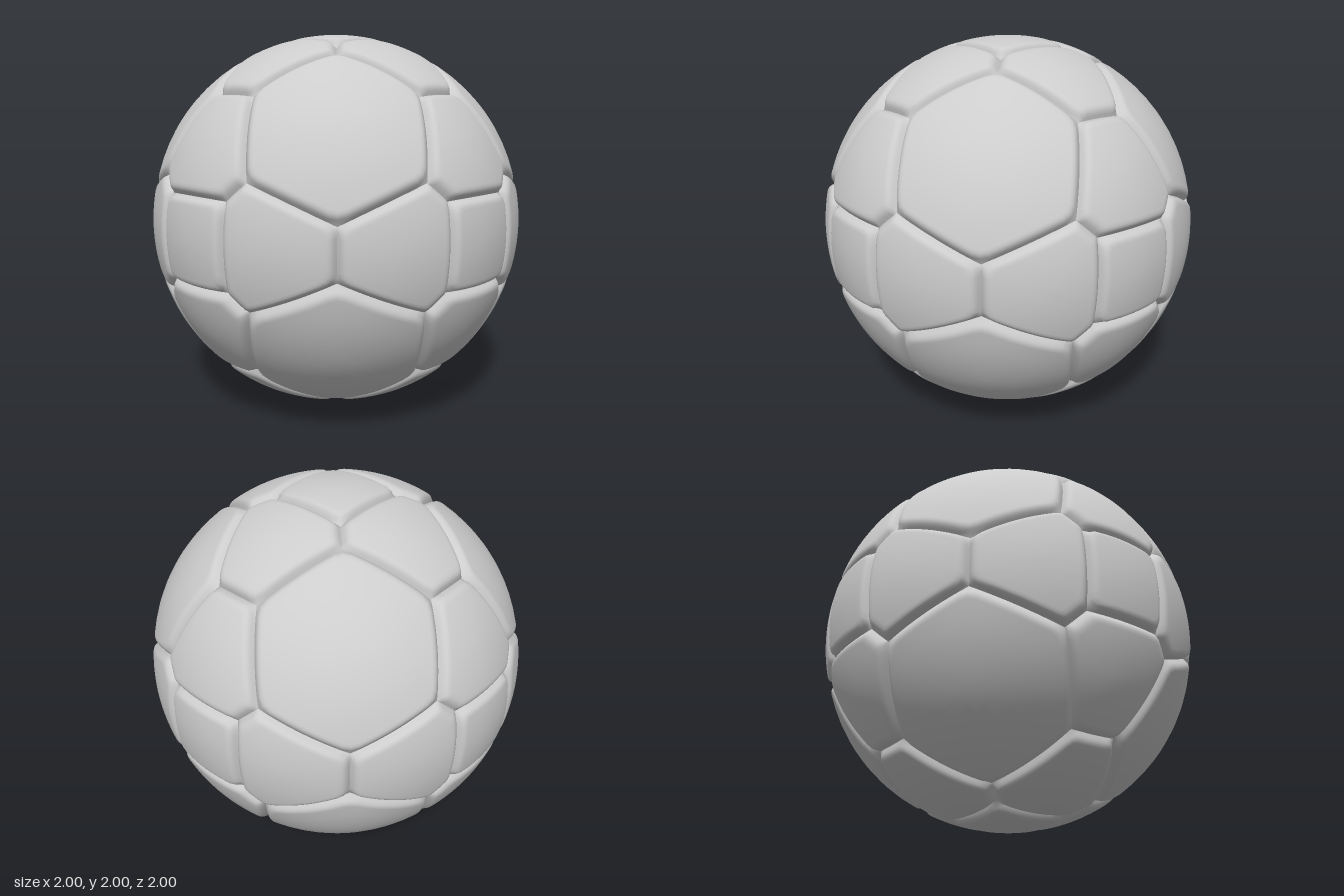
import * as THREE from 'three';

const BASE = 0.962;   // radius of the seams
const STEPS = 10;     // points along each panel edge
// rounded rim: [inset from the seam, height above it]
const RIM = [[0, 0], [0.005, 0.013], [0.01, 0.025], [0.018, 0.033], [0.028, 0.037], [0.042, 0.038]];

const v = (x, y, z) => new THREE.Vector3(x, y, z).normalize();

// Domed panel with a rounded rim, from corners on the unit sphere (counter-clockwise)
function panelGeometry(corners, axis) {
  const outline = [];
  let apothem = Infinity;
  corners.forEach((a, i) => {
    const b = corners[(i + 1) % corners.length];
    apothem = Math.min(apothem, a.clone().add(b).normalize().angleTo(axis));
    for (let s = 0; s < STEPS; s++) outline.push(a.clone().lerp(b, s / STEPS).normalize());
  });
  const n = outline.length;

  // upper rings use an outline with slightly softened corners
  const soft = outline.map((p, i) =>
    p.clone().multiplyScalar(2).add(outline[(i + 1) % n]).add(outline[(i + n - 1) % n]).normalize());

  const rings = RIM.map(([d, h]) => [1 - d / apothem, h]);
  const inner = rings[rings.length - 1][0];
  for (const t of [0.8, 0.6, 0.4, 0.2]) rings.push([inner * t, 0.038]);

  const pos = [];
  const index = [];
  rings.forEach(([k, h], r) => {
    (r === 0 ? outline : soft).forEach((p) => {
      const q = axis.clone().lerp(p, k).normalize().multiplyScalar(BASE).addScaledVector(axis, h);
      pos.push(q.x, q.y, q.z);
    });
  });
  const top = axis.clone().multiplyScalar(BASE + 0.038);
  pos.push(top.x, top.y, top.z);

  for (let r = 0; r < rings.length; r++) {
    for (let i = 0; i < n; i++) {
      const j = (i + 1) % n;
      const a = r * n + i, b = r * n + j;
      if (r === rings.length - 1) index.push(a, b, rings.length * n);
      else index.push(a, b, b + n, a, b + n, a + n);
    }
  }
  const g = new THREE.BufferGeometry();
  g.setAttribute('position', new THREE.Float32BufferAttribute(pos, 3));
  g.setIndex(index);
  g.computeVertexNormals();
  return g;
}

export function createModel() {
  const model = new THREE.Group();
  model.name = 'panelledBall';
  const grey = new THREE.MeshStandardMaterial({ color: 0xcccccc });
  grey.name = 'light grey';

  // seam corners: s = square corner, p = where three panels meet, q = on the 45 degree seam
  const s = 0.22, sz = 0.95, p = 0.31, pz = 0.899, q = 0.13, qz = 0.701;

  const square = panelGeometry(
    [v(-s, -s, sz), v(s, -s, sz), v(s, s, sz), v(-s, s, sz)], v(0, 0, 1));
  const wedge = panelGeometry(
    [v(-s, s, sz), v(s, s, sz), v(p, p, pz), v(q, qz, qz), v(-q, qz, qz), v(-p, p, pz)], v(0, 0.47, 0.883));
  const hexagon = panelGeometry(
    [v(p, p, pz), v(qz, q, qz), v(pz, p, p), v(qz, qz, q), v(p, pz, p), v(q, qz, qz)], v(1, 1, 1));

  const add = (name, geometry, turn) => {
    const mesh = new THREE.Mesh(geometry, grey);
    mesh.name = name;
    mesh.quaternion.copy(turn);
    mesh.position.y = 1;
    model.add(mesh);
  };

  // six cube directions, each with four quarter turns about its own axis
  const H = Math.PI / 2;
  const faces = [[0, 0], [0, 2 * H], [0, H], [0, -H], [H, 0], [-H, 0]];
  faces.forEach(([rx, ry], f) => {
    const face = new THREE.Quaternion().setFromEuler(new THREE.Euler(rx, ry, 0));
    add('squarePanel', square, face);
    for (let k = 0; k < 4; k++) {
      const roll = new THREE.Quaternion().setFromAxisAngle(new THREE.Vector3(0, 0, 1), k * H);
      const turn = face.clone().multiply(roll);
      add('wedgePanel', wedge, turn);
      if (f < 2) add('hexagonPanel', hexagon, turn); // front and back cover all eight corners
    }
  });
  return model;
}
